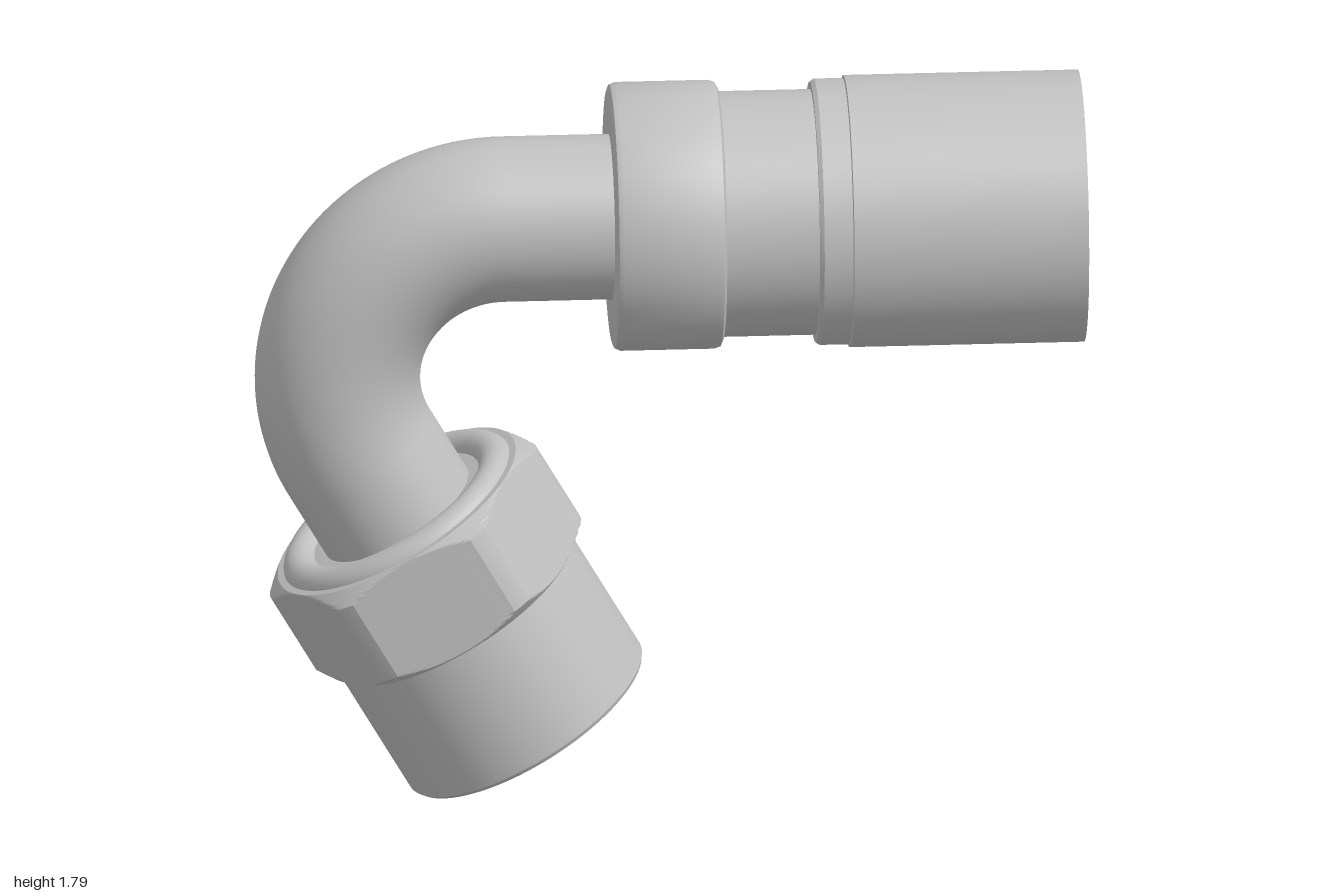
import * as THREE from 'three';
import { toCreasedNormals } from 'three/addons/utils/BufferGeometryUtils.js';

const metal = new THREE.MeshStandardMaterial({ color: 0xc0c0c0, side: THREE.DoubleSide });
metal.name = 'steel grey';

const AXIS_Y = 1.467, BEND_X = -0.4, BEND_R = 0.4, PIPE_R = 0.2, BORE_R = 0.16;

function add(parent, name, geometry) {
  const mesh = new THREE.Mesh(geometry, metal);
  mesh.name = name;
  parent.add(mesh);
  return mesh;
}

// Turned part from [radius, distance along axis] pairs, with sharp edges kept
function turned(points, segments = 96) {
  const g = new THREE.LatheGeometry(points.map(p => new THREE.Vector2(p[0], p[1])), segments);
  return toCreasedNormals(g, 0.5);
}

// Straight open tube along local y between two distances
function straight(radius, from, to) {
  return new THREE.CylinderGeometry(radius, radius, to - from, 64, 1, true).translate(0, (from + to) / 2, 0);
}

// Hexagon with conical chamfers: a turned blank cut back to six flats
function hexNut(apothem) {
  const pts = [[0.2, 0.18], [0.325, 0.18]];
  for (let i = 0; i <= 8; i++) pts.push([0.332 + 0.005 * i, 0.18 + 0.00375 * i]);
  for (let i = 0; i <= 10; i++) pts.push([0.372 - 0.0048 * i, 0.428 + 0.0035 * i]);
  const g = new THREE.LatheGeometry(pts.map(p => new THREE.Vector2(p[0], p[1])), 96);
  const pos = g.attributes.position;
  const sixth = Math.PI / 3;
  for (let i = 0; i < pos.count; i++) {
    const x = pos.getX(i), z = pos.getZ(i), r = Math.hypot(x, z);
    const a = Math.atan2(z, x) + Math.PI * 2;
    const limit = apothem / Math.cos((a % sixth) - sixth / 2);
    const k = Math.min(1, limit / r);
    pos.setX(i, x * k);
    pos.setZ(i, z * k);
  }
  return toCreasedNormals(g, 0.3);
}

export function createModel() {
  const model = new THREE.Group();
  model.name = 'bentHoseFitting';

  // Curved part of the pipe, outside and bore
  for (const [name, r] of [['pipeBend', PIPE_R], ['pipeBendBore', BORE_R]]) {
    const bend = add(model, name, new THREE.TorusGeometry(BEND_R, r, 64, 72, Math.PI * 2 / 3));
    bend.position.set(BEND_X, AXIS_Y - BEND_R, 0);
    bend.rotation.z = Math.PI / 2;
  }

  // Horizontal hose end: local y runs along +x
  const hoseEnd = new THREE.Group();
  hoseEnd.name = 'hoseEnd';
  hoseEnd.position.y = AXIS_Y;
  hoseEnd.rotation.z = -Math.PI / 2;
  model.add(hoseEnd);
  add(hoseEnd, 'upperPipe', straight(PIPE_R, BEND_X, 0));
  add(hoseEnd, 'upperBore', straight(BORE_R, BEND_X, 0.9));
  add(hoseEnd, 'crimpCollar', turned([
    [0.19, -0.14], [0.308, -0.14], [0.319, -0.136], [0.325, -0.122],
    [0.325, 0.105], [0.32, 0.119], [0.308, 0.125], [0.297, 0.125],
    [0.297, 0.35], [0.315, 0.35], [0.322, 0.36], [0.322, 0.43], [0.329, 0.432],
    [0.329, 1], [0.308, 1], [0.28, 0.95], [0.28, 0.88], [0.24, 0.88],
  ]));
  add(hoseEnd, 'innerNipple', turned([
    [0.246, 0.88], [0.246, 0.955], [0.24, 0.962], [0.204, 0.962], [0.195, 0.95], [BORE_R, 0.88],
  ]));

  // Angled nut end: local y runs down the axis from the end of the bend
  const nutEnd = new THREE.Group();
  nutEnd.name = 'nutEnd';
  const a = Math.PI * 7 / 6;
  nutEnd.position.set(BEND_X + BEND_R * Math.cos(a), AXIS_Y - BEND_R + BEND_R * Math.sin(a), 0);
  nutEnd.rotation.z = a;
  model.add(nutEnd);
  add(nutEnd, 'lowerPipe', straight(PIPE_R, 0, 0.25));
  add(nutEnd, 'lowerBore', straight(BORE_R, 0, 0.4));
  add(nutEnd, 'hexNut', hexNut(0.332));
  const ring = add(nutEnd, 'retainingRing', new THREE.TorusGeometry(0.272, 0.045, 24, 96));
  ring.rotation.x = Math.PI / 2;
  ring.position.y = 0.195;
  add(nutEnd, 'nutSleeve', turned([
    [0.327, 0.4], [0.327, 0.8], [0.32, 0.81], [0.3, 0.81], [0.272, 0.785],
    [0.272, 0.5], [0.235, 0.5], [0.235, 0.47], [BORE_R, 0.4],
  ]));

  // Small dished pin mark on one rear flat
  const pin = add(nutEnd, 'retainingPin', turned([
    [0.028, 0], [0.028, 0.007], [0.022, 0.007], [0.012, 0.003], [0, 0.002],
  ], 24));
  const normal = new THREE.Vector3(Math.cos(Math.PI / 6), 0, -0.5);
  pin.position.copy(normal).multiplyScalar(0.332).setY(0.365);
  pin.quaternion.setFromUnitVectors(new THREE.Vector3(0, 1, 0), normal);

  return model;
}
